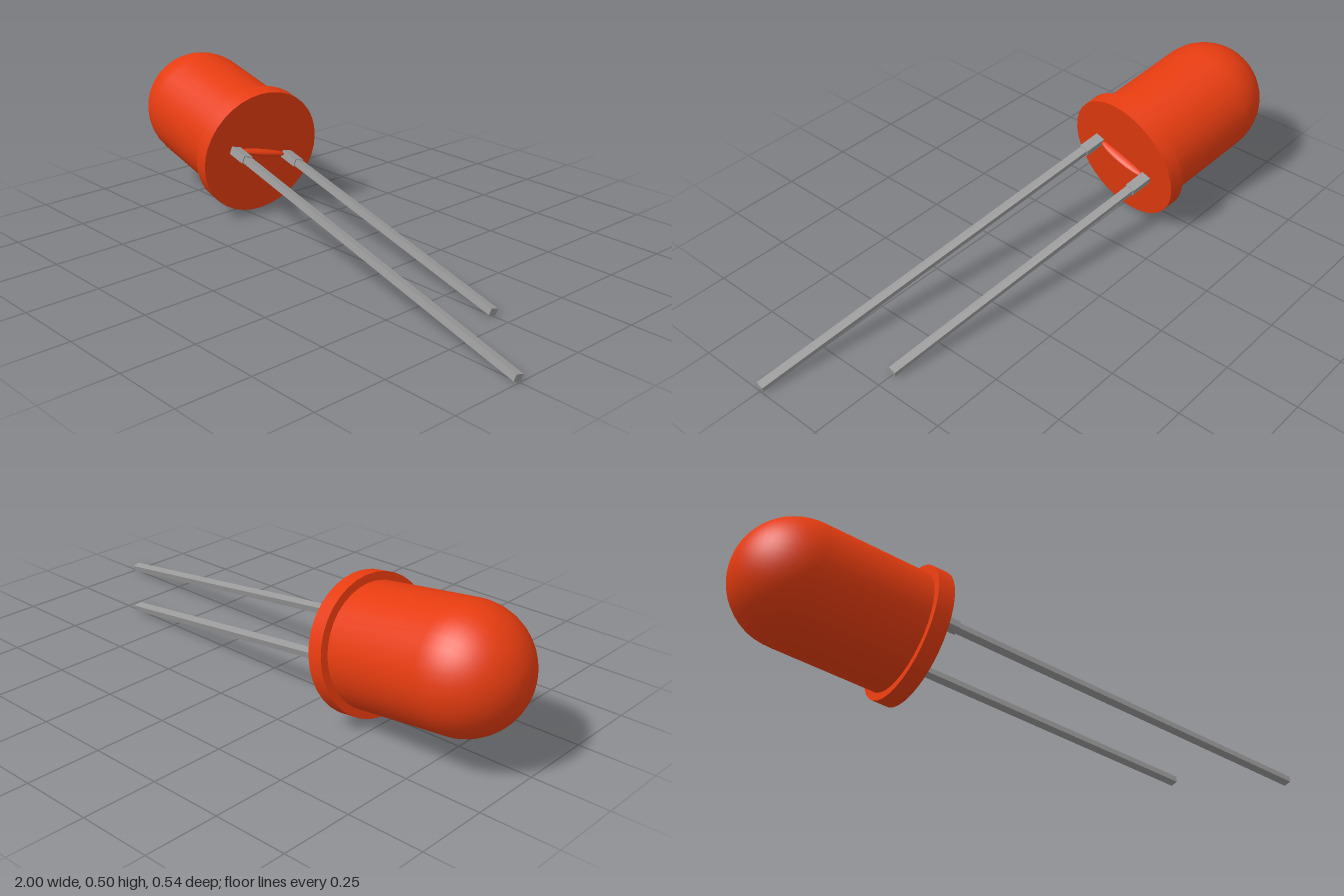
import * as THREE from 'three';

export function createModel() {
  const red = new THREE.MeshStandardMaterial({ color: 0xe63c10 });
  red.name = 'red lens';
  const metal = new THREE.MeshStandardMaterial({ color: 0x9a9a9a });
  metal.name = 'grey metal';

  const model = new THREE.Group();
  model.name = 'lightDiode';

  // Local frame: +y runs to the dome tip, z runs from one lead to the other
  const lamp = new THREE.Group();
  lamp.name = 'tiltedLamp';
  const axis = new THREE.Vector3(-1, 0.175, -0.118).normalize();
  const across = new THREE.Vector3(0, 0.245, 1);
  across.addScaledVector(axis, -across.dot(axis)).normalize();
  const side = new THREE.Vector3().crossVectors(axis, across);
  lamp.quaternion.setFromRotationMatrix(new THREE.Matrix4().makeBasis(side, axis, across));
  lamp.position.set(-0.4, 0.234, -0.022);
  model.add(lamp);

  const add = (name, geometry, material, x = 0, y = 0, z = 0) => {
    const mesh = new THREE.Mesh(geometry, material);
    mesh.name = name;
    mesh.position.set(x, y, z);
    lamp.add(mesh);
    return mesh;
  };

  // Rim and bullet-shaped lens
  const rim = 0.055, radius = 0.2, domeStart = 0.409;
  add('rim', new THREE.CylinderGeometry(0.226, 0.226, rim, 36), red, 0, rim / 2);
  const profile = [new THREE.Vector2(radius, rim)];
  for (let i = 0; i <= 14; i++) {
    const a = (i / 14) * Math.PI / 2;
    profile.push(new THREE.Vector2(radius * Math.cos(a), domeStart + radius * Math.sin(a)));
  }
  add('lens', new THREE.LatheGeometry(profile, 36), red);

  // Low rounded ridge on the base, between the leads
  const ridge = new THREE.SphereGeometry(1, 24, 8, 0, Math.PI * 2, Math.PI / 2, Math.PI / 2);
  ridge.scale(0.012, 0.025, 0.105);
  add('baseRidge', ridge, red);

  // Two square leads of unequal length, each with a thicker collar at the base
  for (const [name, z, length] of [['longLead', 0.112, 1.436], ['shortLead', -0.11, 1.11]]) {
    add(name, new THREE.BoxGeometry(0.022, length, 0.028), metal, 0, -length / 2, z);
    add(name + 'Collar', new THREE.BoxGeometry(0.027, 0.08, 0.036), metal, 0, -0.04, z);
  }
  return model;
}
